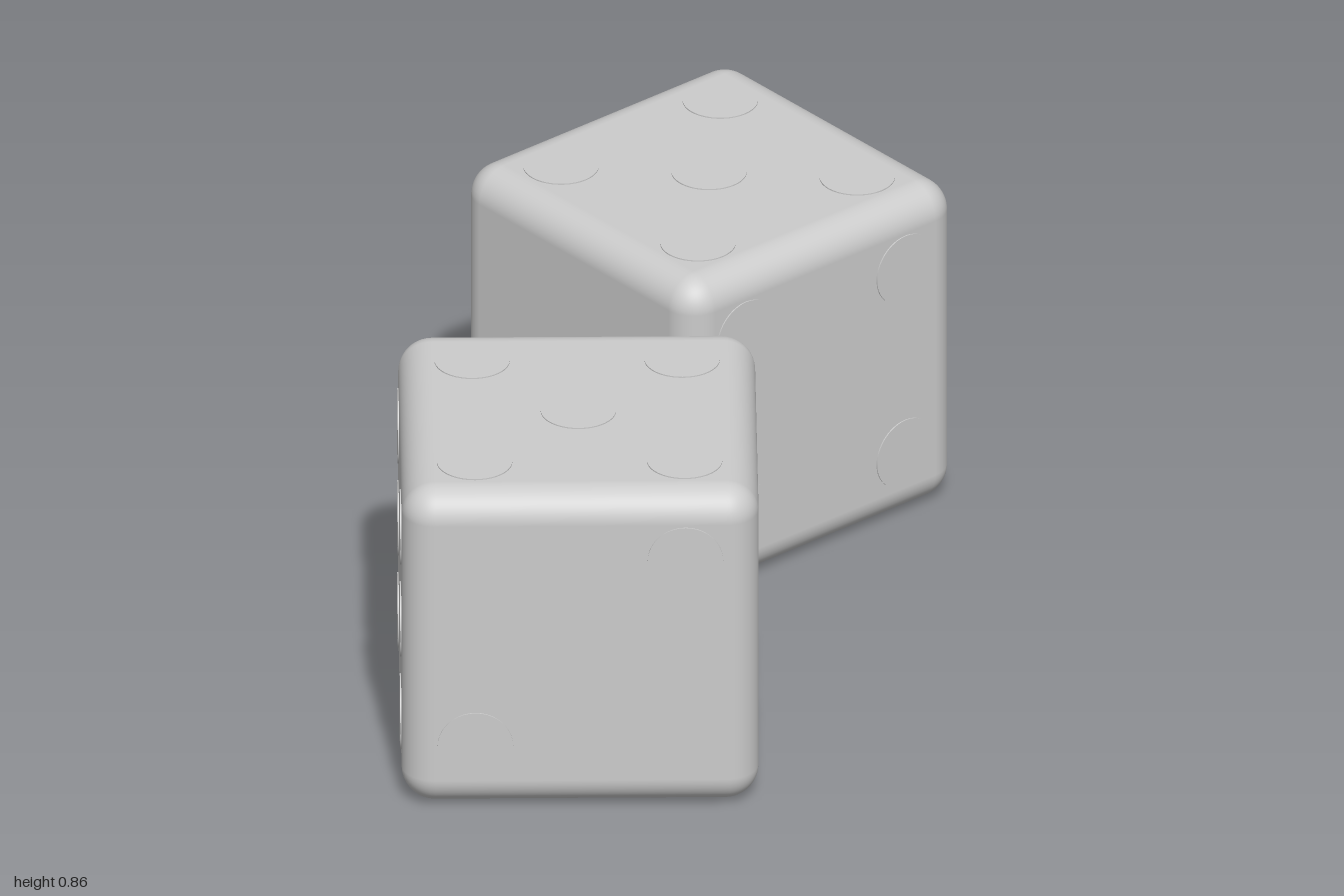
import * as THREE from 'three';
import { RoundedBoxGeometry } from 'three/addons/geometries/RoundedBoxGeometry.js';

const SIZE = 0.85, EDGE = 0.08, PIP_R = 0.09, SPACING = 0.25, RAISE = 0.003;
const H = Math.PI / 2;

// Pip layouts in face coordinates (u right, v up)
const corners = [[-1, -1], [-1, 1], [1, -1], [1, 1]];
const layouts = {
  one: [[0, 0]],
  two: [[1, 1], [-1, -1]],
  three: [[1, -1], [0, 0], [-1, 1]],
  four: corners,
  five: [...corners, [0, 0]],
  six: [...corners, [-1, 0], [1, 0]],
};

// Rotation that turns a +z face to each side of the cube
const faces = [
  ['one', 0, H],
  ['six', 0, -H],
  ['two', 0, 0],
  ['four', 0, Math.PI],
  ['five', -H, 0],
  ['three', H, 0],
];

export function createModel() {
  const model = new THREE.Group();
  const material = new THREE.MeshStandardMaterial({ color: 0xcccccc });
  const bodyGeometry = new RoundedBoxGeometry(SIZE, SIZE, SIZE, 6, EDGE);
  const pipGeometry = new THREE.CylinderGeometry(PIP_R, PIP_R, 0.02, 40).rotateX(H);

  function makeDie(name, x, z, turn) {
    const die = new THREE.Group();
    die.name = name;
    const body = new THREE.Mesh(bodyGeometry, material);
    body.name = 'body';
    die.add(body);

    // Thin round pips standing just proud of each face
    for (const [layout, rx, ry] of faces) {
      const face = new THREE.Group();
      face.name = layout + 'Face';
      face.rotation.set(rx, ry, 0);
      for (const [u, v] of layouts[layout]) {
        const pip = new THREE.Mesh(pipGeometry, material);
        pip.name = 'pip';
        pip.position.set(u * SPACING, v * SPACING, SIZE / 2 + RAISE - 0.01);
        face.add(pip);
      }
      die.add(face);
    }
    die.position.set(x, SIZE / 2 + RAISE, z);
    die.rotation.y = turn;
    model.add(die);
  }

  makeDie('frontDie', -0.435, 0.276, THREE.MathUtils.degToRad(-40));
  makeDie('backDie', 0.57, -0.416, Math.PI);
  return model;
}
